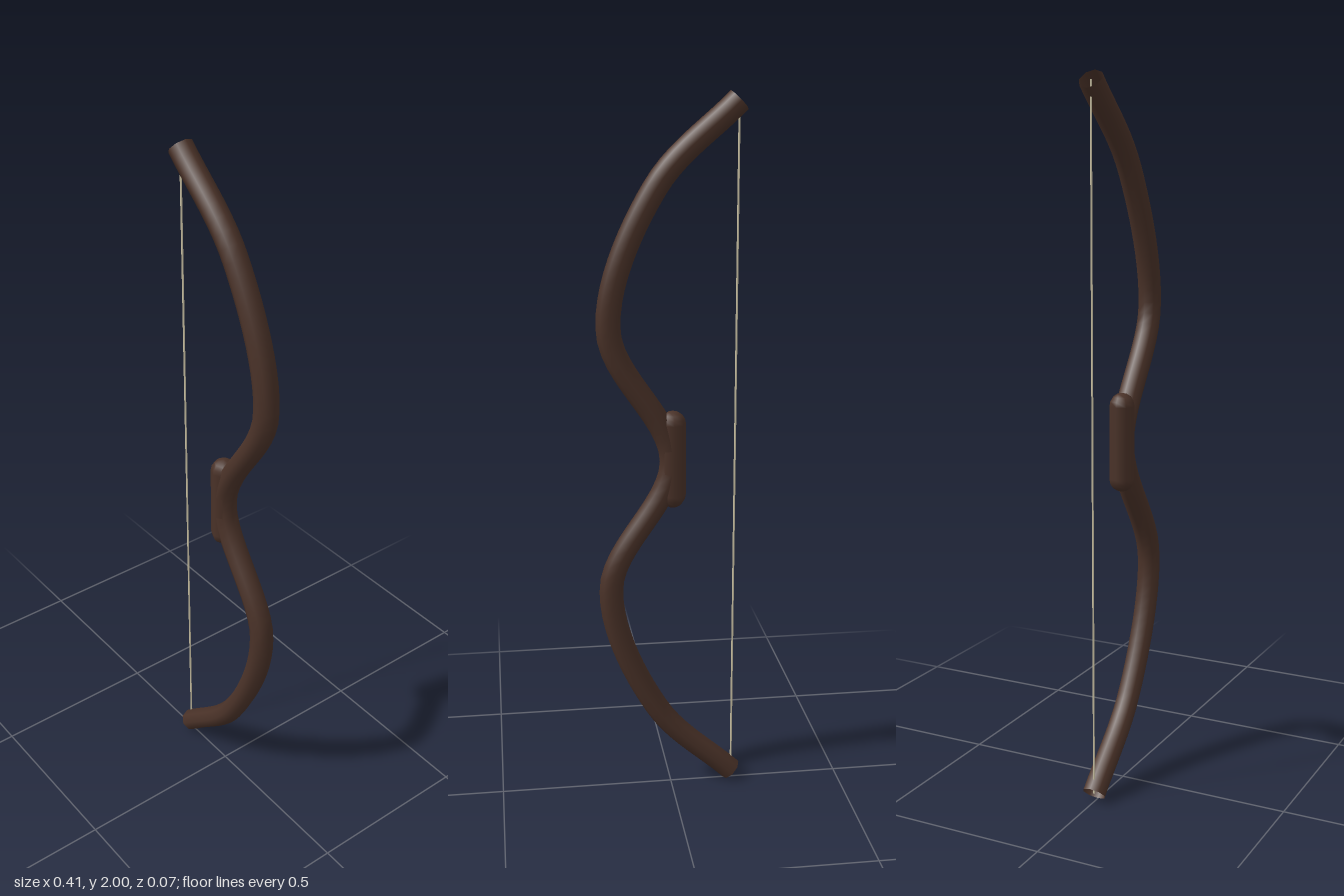
import * as THREE from 'three';

const RADIUS = 0.034;
const STRING_X = -0.182;

export function createModel() {
  const bow = new THREE.Group();
  bow.name = 'bow';
  const wood = new THREE.MeshStandardMaterial({ color: 0x4a3228, side: THREE.DoubleSide });
  const cord = new THREE.MeshStandardMaterial({ color: 0xcfc6a8 });

  const add = (name, geometry, material, x = 0, y = 0) => {
    const mesh = new THREE.Mesh(geometry, material);
    mesh.name = name;
    mesh.position.set(x, y, 0);
    bow.add(mesh);
  };

  // Recurved limbs: one open-ended tube, mirrored about the grip at y = 1
  const upper = [[-0.182, 0.976], [0.04, 0.755], [0.171, 0.37]];
  const points = [
    ...upper.map(([x, y]) => new THREE.Vector3(x, 1 + y, 0)),
    new THREE.Vector3(-0.003, 1, 0),
    ...upper.map(([x, y]) => new THREE.Vector3(x, 1 - y, 0)).reverse(),
  ];
  const path = new THREE.CatmullRomCurve3(points);
  add('limbs', new THREE.TubeGeometry(path, 64, RADIUS, 8), wood);

  // Rounded handle
  add('grip', new THREE.CapsuleGeometry(0.037, 0.206, 4, 8), wood, -0.006, 1.004);

  // Taut string between the limb tips
  add('string', new THREE.CylinderGeometry(0.003, 0.003, 1.95, 6), cord, STRING_X, 1);

  return bow;
}
